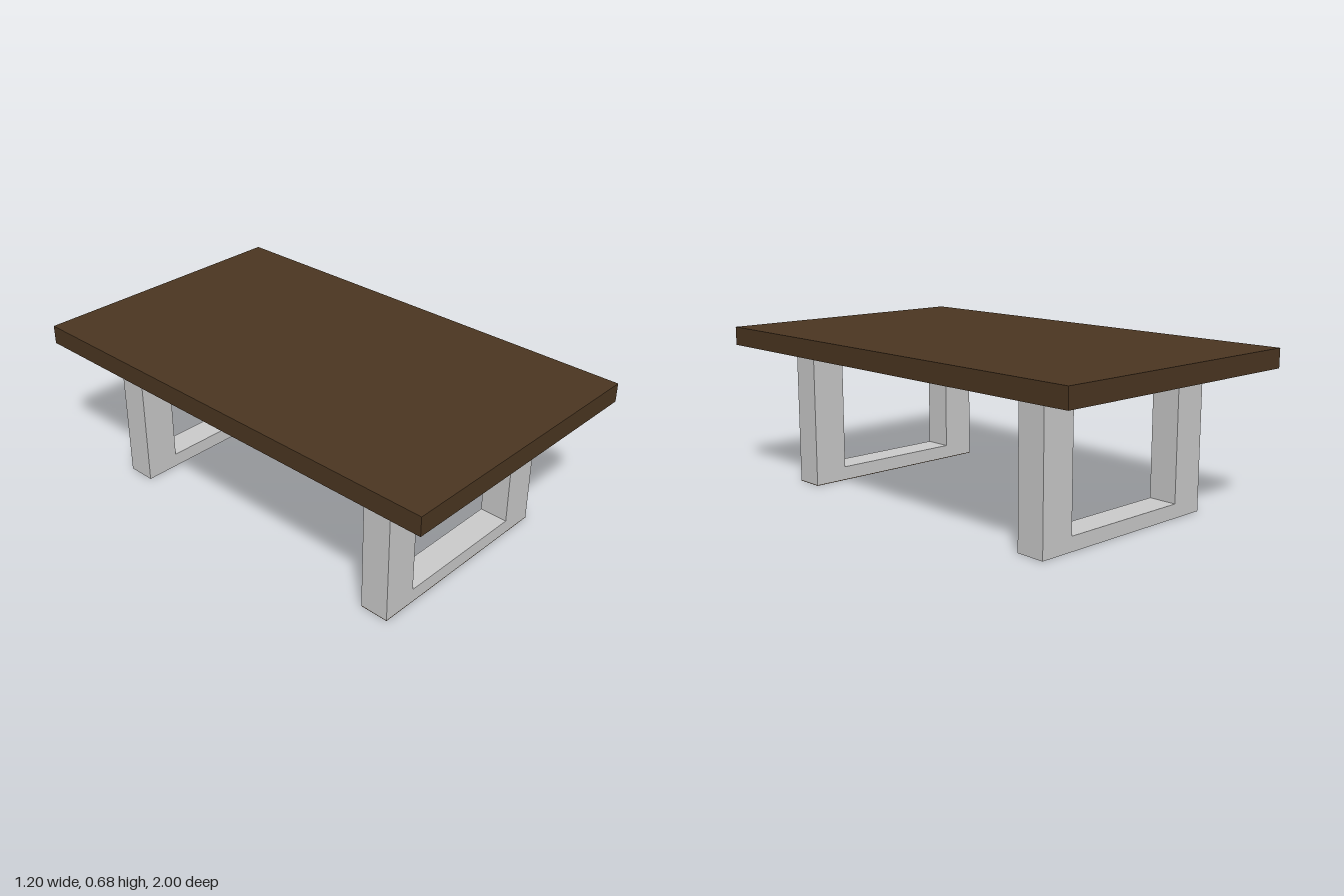
import * as THREE from 'three';

const TOP_Y = 0.6, TOP_THICKNESS = 0.08;
const OUTER = 0.45, INNER = 0.3, FOOT = 0.06, DEPTH = 0.125;
const SOLE = 0.003;

// U-shaped leg frame: two wide posts joined by a thin foot bar
function legFrameGeometry(bottom) {
  const shape = new THREE.Shape([
    [-OUTER, bottom], [OUTER, bottom], [OUTER, TOP_Y], [INNER, TOP_Y],
    [INNER, FOOT], [-INNER, FOOT], [-INNER, TOP_Y], [-OUTER, TOP_Y],
  ].map(([x, y]) => new THREE.Vector2(x, y)));
  const geometry = new THREE.ExtrudeGeometry(shape, { depth: DEPTH, bevelEnabled: false });
  return geometry.translate(0, 0, -DEPTH / 2);
}

export function createModel() {
  const model = new THREE.Group();
  model.name = 'table';
  const wood = new THREE.MeshStandardMaterial({ color: 0x4b3621 });
  const grey = new THREE.MeshStandardMaterial({ color: 0xcccccc });

  const add = (name, geometry, material, y, z) => {
    const mesh = new THREE.Mesh(geometry, material);
    mesh.name = name;
    mesh.position.set(0, y, z);
    model.add(mesh);
  };

  // Table top
  add('tableTop', new THREE.BoxGeometry(1.2, TOP_THICKNESS, 2), wood, TOP_Y + TOP_THICKNESS / 2, 0);

  // Leg frames, set in from both ends
  const legZ = 0.75 - DEPTH / 2;
  add('frontLegFrame', legFrameGeometry(SOLE), grey, 0, legZ);
  add('backLegFrame', legFrameGeometry(0), grey, 0, -legZ);

  // Thin wooden sole under the front frame
  add('frontSole', new THREE.BoxGeometry(2 * OUTER, SOLE, DEPTH), wood, SOLE / 2, legZ);

  return model;
}
